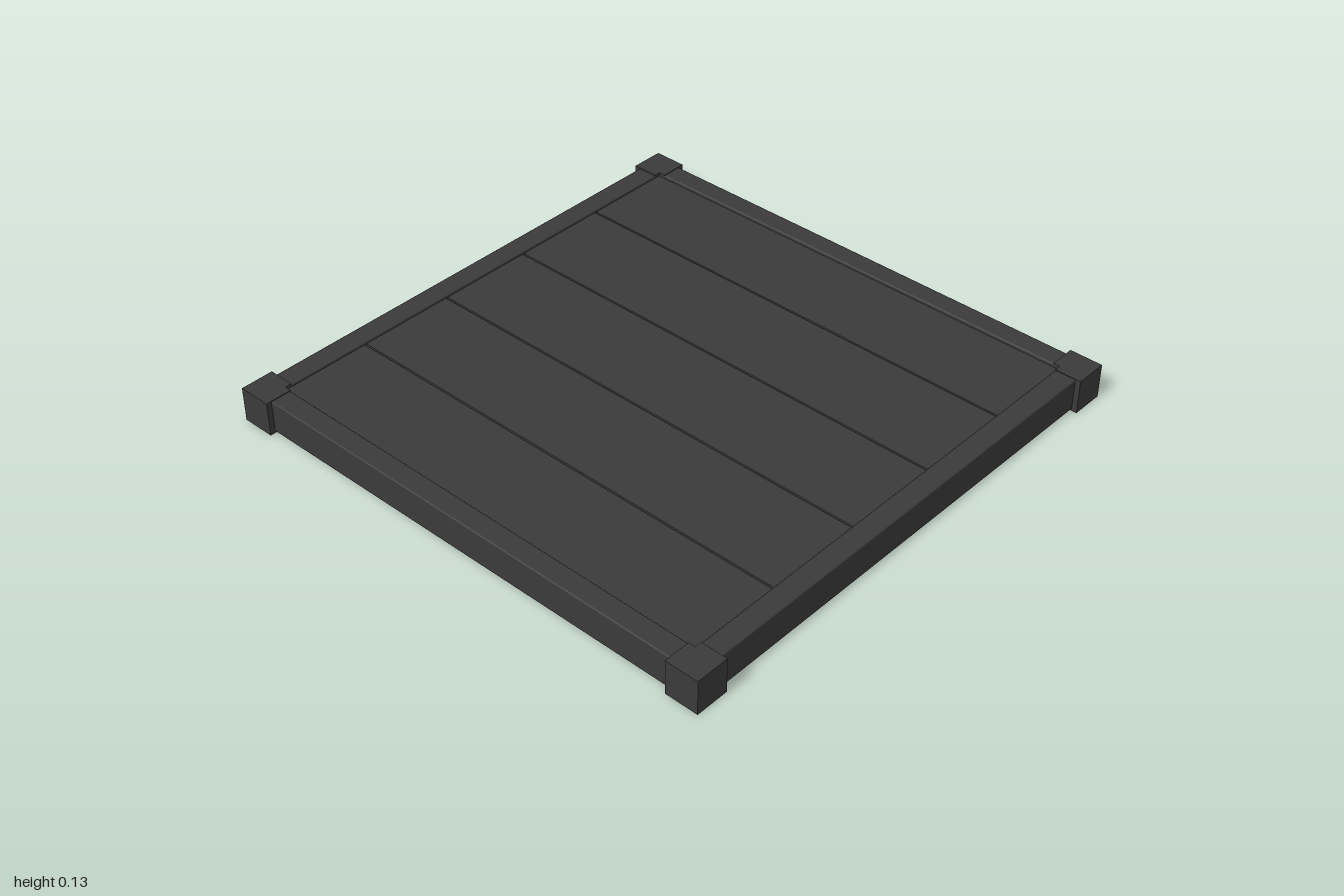
import * as THREE from 'three';
import { RoundedBoxGeometry } from 'three/addons/geometries/RoundedBoxGeometry.js';

export function createModel() {
  const model = new THREE.Group();
  model.name = 'plankPanel';
  const material = new THREE.MeshStandardMaterial({ color: 0x3a3a3a });

  const add = (name, geometry, x, y, z, turn = 0) => {
    const mesh = new THREE.Mesh(geometry, material);
    mesh.name = name;
    mesh.position.set(x, y, z);
    mesh.rotation.y = turn;
    model.add(mesh);
  };

  // Five planks separated by narrow open gaps
  const edges = [-0.9, -0.555, -0.185, 0.185, 0.555, 0.9];
  const gap = 0.007;
  for (let i = 0; i < 5; i++) {
    const width = edges[i + 1] - edges[i] - gap;
    add('plank' + (i + 1), new THREE.BoxGeometry(width, 0.105, 1.81),
      (edges[i] + edges[i + 1]) / 2, 0.065, 0);
  }

  // Four frame rails with softened edges, butted at the corners
  const longRail = new RoundedBoxGeometry(1.95, 0.122, 0.08, 2, 0.005);
  const sideRail = new RoundedBoxGeometry(1.8, 0.122, 0.08, 2, 0.005);
  add('frontRail', longRail, 0, 0.066, 0.94);
  add('backRail', longRail, 0, 0.066, -0.94);
  add('leftRail', sideRail, 0.94, 0.066, 0, Math.PI / 2);
  add('rightRail', sideRail, -0.94, 0.066, 0, Math.PI / 2);

  // L-shaped corner caps wrapping the rail ends
  const outline = new THREE.Shape([
    [1, 1], [0.875, 1], [0.875, 0.9], [0.9, 0.9], [0.9, 0.875], [1, 0.875],
  ].map(([x, y]) => new THREE.Vector2(x, y)));
  const cap = new THREE.ExtrudeGeometry(outline, { depth: 0.13, bevelEnabled: false });
  cap.rotateX(-Math.PI / 2);
  ['backLeftCap', 'backRightCap', 'frontRightCap', 'frontLeftCap'].forEach((name, i) =>
    add(name, cap, 0, 0, 0, i * Math.PI / 2));

  return model;
}
